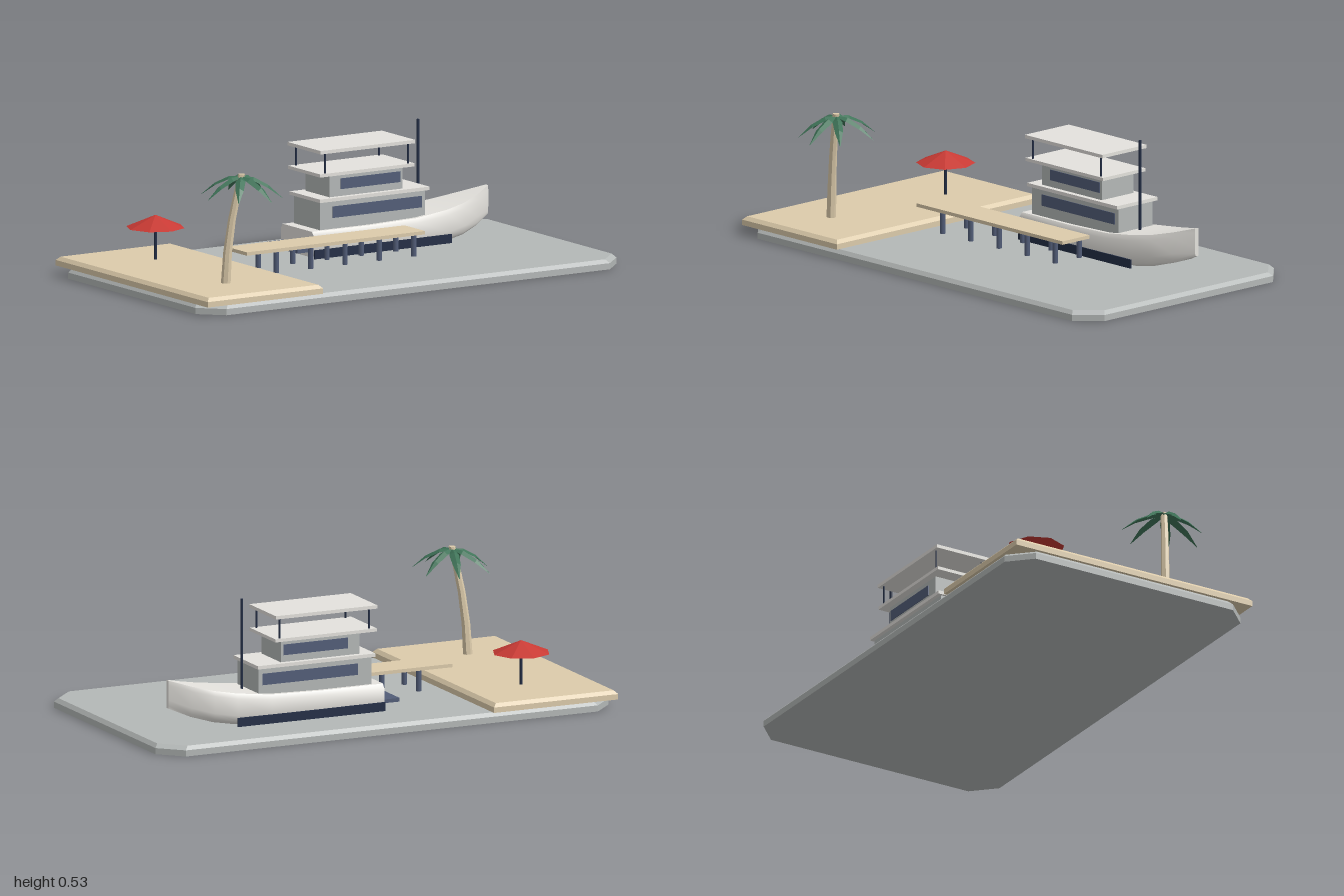
import * as THREE from 'three';
import { toCreasedNormals } from 'three/addons/utils/BufferGeometryUtils.js';

const mat = (name, color, side = THREE.FrontSide) => {
  const m = new THREE.MeshStandardMaterial({ color, side });
  m.name = name;
  return m;
};

// Skin through rings of [x, y, z], each counter-clockwise seen from the last ring's end
function loft(rings, crease) {
  const n = rings[0].length, idx = [];
  for (let i = 0; i < rings.length - 1; i++) {
    for (let j = 0; j < n; j++) {
      const k = (j + 1) % n, a = i * n + j, b = i * n + k, c = b + n, d = a + n;
      idx.push(a, b, c, a, c, d);
    }
  }
  const e = (rings.length - 1) * n;
  for (let j = 1; j < n - 1; j++) idx.push(0, j + 1, j, e, e + j, e + j + 1);
  const g = new THREE.BufferGeometry();
  g.setAttribute('position', new THREE.Float32BufferAttribute(rings.flat(2), 3));
  g.setIndex(idx);
  return toCreasedNormals(g, crease);
}

// Slab with a bevelled upper edge and optionally cut corners
function slab(x0, x1, hz, y0, yBevel, y1, cut) {
  const cx = (x0 + x1) / 2;
  const ring = (y, inset) => {
    const a = (x1 - x0) / 2 - inset, b = hz - inset;
    const pts = cut
      ? [[a, b - cut], [a, cut - b], [a - cut, -b], [cut - a, -b], [-a, cut - b], [-a, b - cut], [cut - a, b], [a - cut, b]]
      : [[a, b], [a, -b], [-a, -b], [-a, b]];
    return pts.map(([x, z]) => [cx + x, y, z]);
  };
  return loft([ring(y0, 0), ring(yBevel, 0), ring(y1, 0.014)], 0.1);
}

// Drooping leaf with a raised midrib, pointing along +x
function frondGeometry(len) {
  const rows = [[0, 0, 0.006], [0.3, -0.003, 0.02], [0.65, -0.033, 0.016], [1, -0.085, 0.001]];
  const pos = [], idx = [];
  rows.forEach(([t, y, w], i) => {
    pos.push(t * len, y - w * 0.6, -w, t * len, y, 0, t * len, y - w * 0.6, w);
    if (i === 0) return;
    for (let k = 0; k < 2; k++) {
      const a = (i - 1) * 3 + k, b = a + 1, c = b + 3, d = a + 3;
      idx.push(a, b, c, a, c, d);
    }
  });
  const g = new THREE.BufferGeometry();
  g.setAttribute('position', new THREE.Float32BufferAttribute(pos, 3));
  g.setIndex(idx);
  return toCreasedNormals(g, 0.1);
}

export function createModel() {
  const root = new THREE.Group();
  const grey = mat('paleGrey', 0xb4b8b7);
  const sand = mat('sand', 0xdccbab);
  const white = mat('hullWhite', 0xe4e2dd);
  const slate = mat('slateBlue', 0x525d78);
  const navy = mat('darkNavy', 0x232e46);
  const red = mat('parasolRed', 0xc83a34);
  const green = mat('palmGreen', 0x3f7358, THREE.DoubleSide);

  const add = (name, geo, material, parent = root) => {
    const m = new THREE.Mesh(geo, material);
    m.name = name;
    parent.add(m);
    return m;
  };
  const group = (name) => {
    const g = new THREE.Group();
    g.name = name;
    root.add(g);
    return g;
  };
  // Box and upright post given by their limits
  const box = (name, x0, x1, y0, y1, z0, z1, material, parent) =>
    add(name, new THREE.BoxGeometry(x1 - x0, y1 - y0, z1 - z0), material, parent)
      .position.set((x0 + x1) / 2, (y0 + y1) / 2, (z0 + z1) / 2);
  const post = (name, x, z, y0, y1, r, material, parent) =>
    add(name, new THREE.CylinderGeometry(r, r, y1 - y0, 8), material, parent)
      .position.set(x, (y0 + y1) / 2, z);

  // Ground
  add('waterBase', slab(-1, 1, 0.55, 0, 0.025, 0.04, 0.09), grey);
  add('beach', slab(-1, -0.452, 0.55, 0.04, 0.062, 0.076, 0), sand);

  // Dock
  const dock = group('dock');
  box('dockDeck', -0.5, 0.346, 0.124, 0.138, -0.076, 0.071, sand, dock);
  for (let i = 0; i < 5; i++) {
    for (const z of [0.064, -0.066]) post('dockPost', -0.355 + i * 0.163, z, 0.04, 0.124, 0.011, slate, dock);
  }

  // Parasol
  const parasol = group('parasol');
  post('parasolPole', -0.703, -0.28, 0.07, 0.235, 0.006, navy, parasol);
  const canopy = add('parasolCanopy', toCreasedNormals(new THREE.ConeGeometry(0.118, 0.05, 8), 0.1), red, parasol);
  canopy.position.set(-0.703, 0.231, -0.28);

  // Palm tree: tapered bent trunk and a crown of leaves
  const palm = group('palmTree');
  const trunk = [[-0.75, 0.07, 0.3, 0.02], [-0.743, 0.2, 0.303, 0.018], [-0.728, 0.33, 0.311, 0.016],
    [-0.71, 0.43, 0.32, 0.015], [-0.693, 0.514, 0.327, 0.014]];
  add('palmTrunk', loft(trunk.map(([x, y, z, r]) => Array.from({ length: 7 }, (_, j) => {
    const a = (j / 7) * Math.PI * 2;
    return [x + r * Math.cos(a), y, z - r * Math.sin(a)];
  })), 0.1), sand, palm);
  const leaves = [[-74, 0.172], [-24, 0.16], [38, 0.164], [80, 0.178], [127, 0.153], [184, 0.152], [234, 0.172]];
  for (const [deg, len] of leaves) {
    const f = add('palmFrond', frondGeometry(len), green, palm);
    f.position.set(-0.693, 0.505, 0.325);
    f.rotation.y = -THREE.MathUtils.degToRad(deg);
  }

  // Boat hull: stations of x, half width, keel height, deck height
  const boat = group('boat');
  const cz = -0.21;
  const stations = [[-0.075, 0.118, 0.046, 0.15], [0.2, 0.123, 0.043, 0.15], [0.42, 0.123, 0.043, 0.156],
    [0.57, 0.116, 0.046, 0.174], [0.66, 0.095, 0.06, 0.189], [0.745, 0.058, 0.084, 0.209], [0.825, 0.01, 0.118, 0.232]];
  const half = [[0.9, 1], [1, 0.84], [1, 0.3], [0.93, 0.1], [0.78, 0]];
  const section = [...half, ...half.map(([z, y]) => [-z, y]).reverse()];
  add('hull', loft(stations.map(([x, w, lo, hi]) =>
    section.map(([z, y]) => [x, lo + y * (hi - lo), cz + z * w])), 0.75), white, boat);
  box('swimPlatform', -0.147, -0.07, 0.07, 0.085, -0.32, -0.1, slate, boat);

  // Cabins, roofs and canopy
  box('lowerCabin', -0.03, 0.47, 0.14, 0.264, cz - 0.094, cz + 0.094, grey, boat);
  box('lowerRoof', -0.04, 0.48, 0.263, 0.277, cz - 0.11, cz + 0.11, white, boat);
  box('upperCabin', 0.02, 0.367, 0.277, 0.368, cz - 0.087, cz + 0.087, grey, boat);
  box('upperRoof', -0.043, 0.405, 0.367, 0.38, cz - 0.116, cz + 0.116, white, boat);
  box('canopyRoof', -0.043, 0.405, 0.461, 0.475, cz - 0.12, cz + 0.12, white, boat);
  post('mast', 0.497, cz, 0.15, 0.531, 0.006, navy, boat);

  // Mirrored details on both sides of the boat
  for (const s of [1, -1]) {
    const plate = (name, x0, x1, y0, y1, d, material) =>
      box(name, x0, x1, y0, y1, cz + s * d - 0.003, cz + s * d + 0.003, material, boat);
    plate('lowerWindow', 0.03, 0.452, 0.194, 0.24, 0.094, slate);
    plate('upperWindow', 0.072, 0.356, 0.305, 0.348, 0.087, slate);
    plate('waterlineStripe', -0.075, 0.575, 0.042, 0.078, 0.124, navy);
    for (const x of [-0.013, 0.381]) post('canopyPost', x, cz + s * 0.105, 0.378, 0.463, 0.004, navy, boat);
  }
  return root;
}
